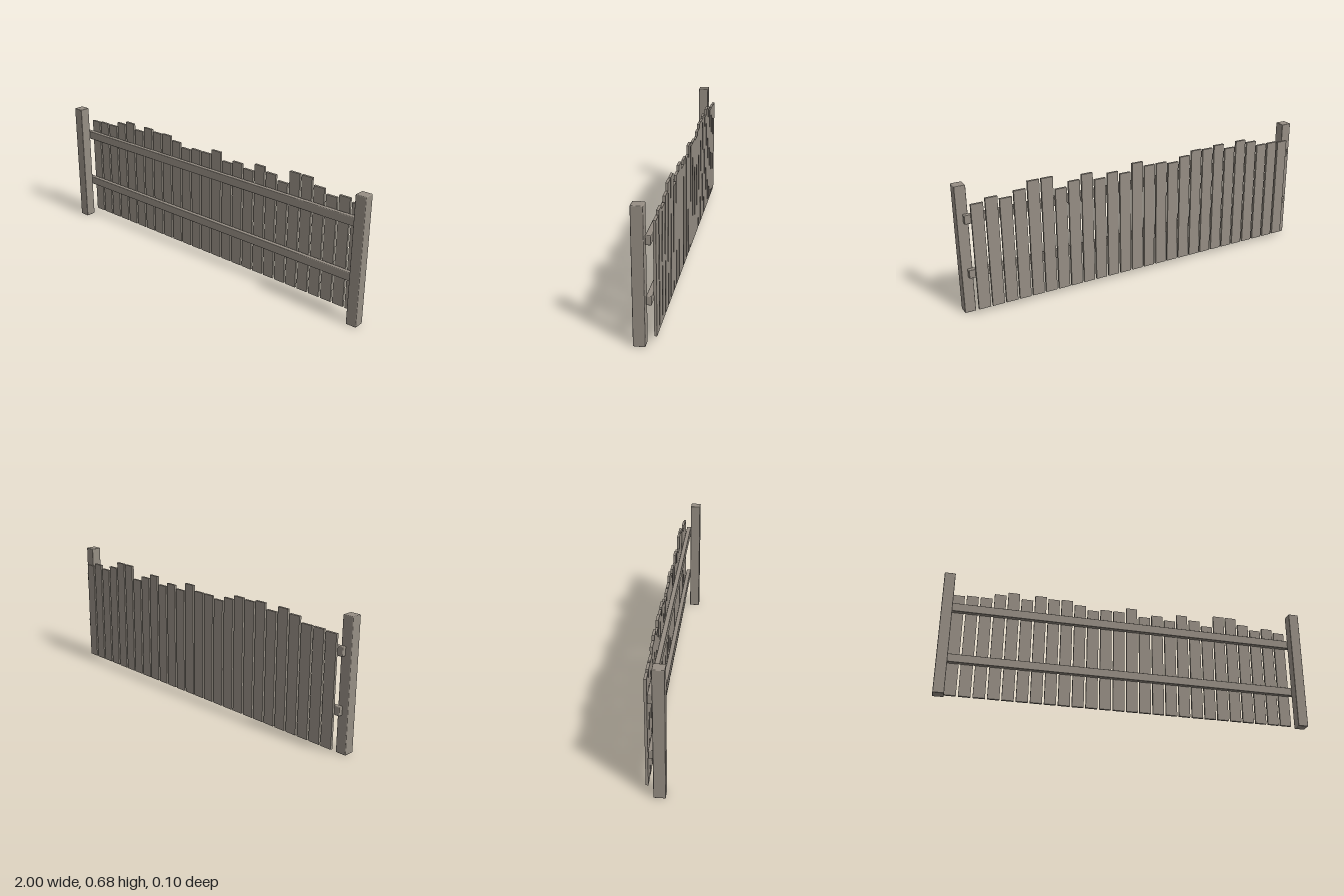
import * as THREE from 'three';
import { RoundedBoxGeometry } from 'three/addons/geometries/RoundedBoxGeometry.js';

// top height of each plank, from the fence's right to its left
const PLANK_TOPS = [
  0.597, 0.602, 0.602, 0.631, 0.65, 0.62, 0.65, 0.64, 0.645, 0.623, 0.6, 0.612, 0.612,
  0.64, 0.596, 0.613, 0.592, 0.634, 0.61, 0.583, 0.654, 0.654, 0.618, 0.592, 0.61, 0.592,
];

export function createModel() {
  const fence = new THREE.Group();
  fence.name = 'fence';
  const wood = new THREE.MeshStandardMaterial({ color: 0x968e84 });
  wood.name = 'weatheredWood';

  // box given by its low and high corners, with optional softened edges
  function addBeam(name, [x0, y0, z0], [x1, y1, z1], bevel = 0) {
    const size = [x1 - x0, y1 - y0, z1 - z0];
    const geometry = bevel
      ? new RoundedBoxGeometry(...size, 2, bevel)
      : new THREE.BoxGeometry(...size);
    const mesh = new THREE.Mesh(geometry, wood);
    mesh.name = name;
    mesh.position.set((x0 + x1) / 2, (y0 + y1) / 2, (z0 + z1) / 2);
    fence.add(mesh);
  }

  // end posts
  addBeam('rightPost', [-1, 0, -0.007], [-0.943, 0.68, 0.05], 0.004);
  addBeam('leftPost', [0.943, 0, -0.007], [1, 0.68, 0.05], 0.004);

  // horizontal rails fixed behind the posts
  addBeam('lowerRail', [-0.97, 0.197, -0.032], [0.97, 0.243, -0.007], 0.004);
  addBeam('upperRail', [-0.97, 0.488, -0.032], [0.97, 0.535, -0.007], 0.004);

  // uneven vertical planks behind the rails
  const width = 0.062, pitch = 0.0729, start = -0.945;
  PLANK_TOPS.forEach((top, i) => {
    const x = start + i * pitch;
    addBeam(`plank${i + 1}`, [x, 0.026, -0.049], [x + width, top, -0.036]);
  });

  return fence;
}
